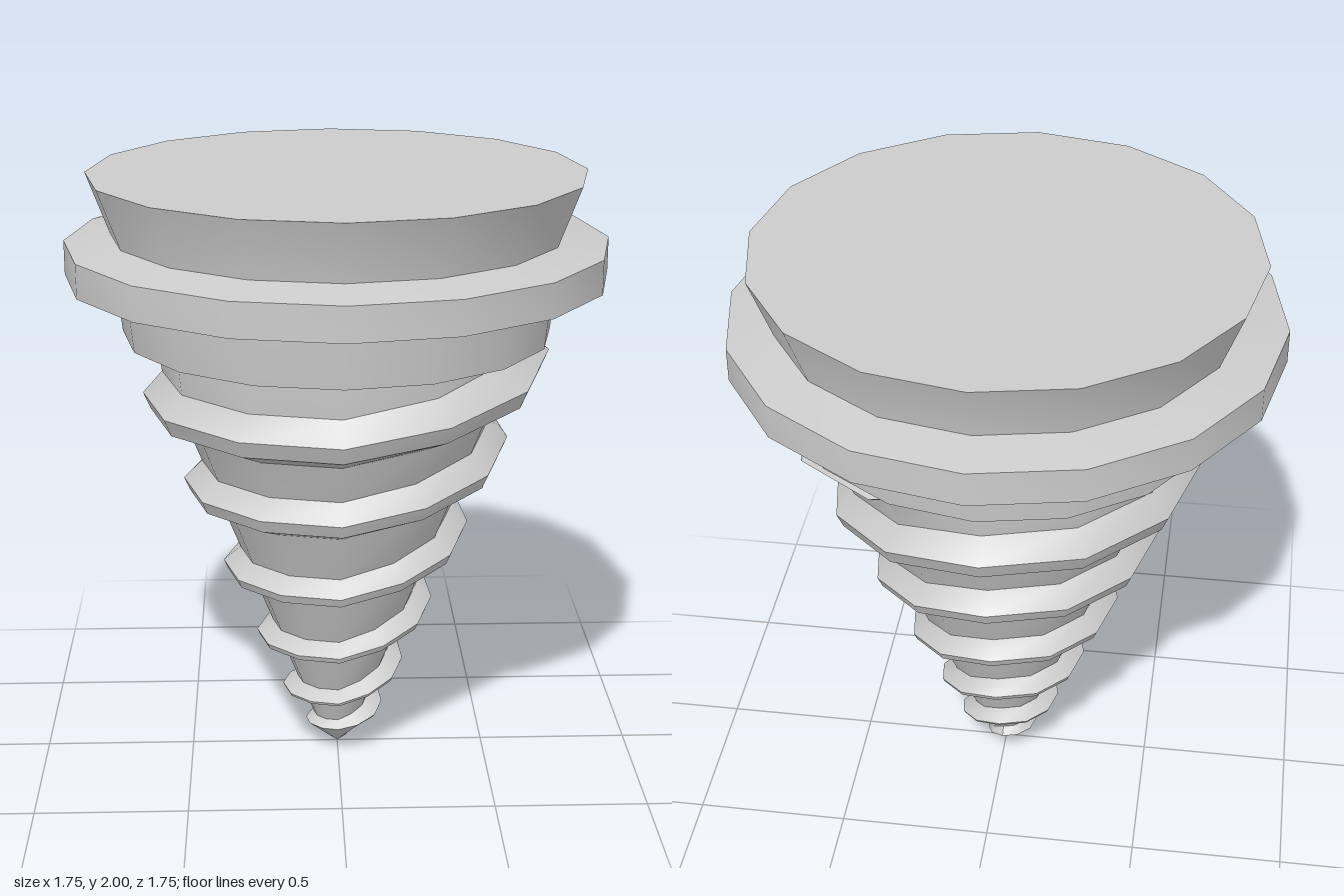
import * as THREE from 'three';
import { toCreasedNormals } from 'three/addons/utils/BufferGeometryUtils.js';

const SIDES = 12;   // steps per thread turn
const TOP = 1.49;   // where the bit enters the collar
// Crest height at the front for each turn
const LEVELS = [0, 0.09, 0.22, 0.42, 0.67, 0.96, 1.25, 1.55, 1.85];
// Share of the pitch climbed after each quarter turn (mostly on the +x side)
const CLIMB = [0, 0.42, 0.94, 0.98, 1];

const { clamp, lerp } = THREE.MathUtils;

function crestY(u) {
  const k = Math.min(Math.floor(u + 1e-6), LEVELS.length - 2);
  const q = clamp((u - k) * 4, 0, 4);
  const i = Math.min(Math.floor(q), 3);
  return lerp(LEVELS[k], LEVELS[k + 1], lerp(CLIMB[i], CLIMB[i + 1], q - i));
}

const coreR = (y) => Math.min(0.035 + 0.4 * y, 0.9 * y, 0.585);
const crestR = (y) => {
  const fade = clamp((TOP - y) / 0.06, 0, 1);
  return lerp(coreR(y), Math.min(0.09 + 0.43 * y, 1.2 * y), fade);
};
const flank = (y) => 0.015 + 0.05 * y;

// Foot of the thread below the crest; the first turn closes onto the tip
function footY(u) {
  const y = crestY(u);
  return u <= 1 ? 0 : y - lerp(LEVELS[1], flank(y), Math.min(u - 1, 1));
}

// Helical strip: each section runs foot, crest, upper foot, foot of next turn
function threadGeometry() {
  const pos = [], idx = [], steps = (LEVELS.length - 2) * SIDES, n = 5;
  for (let s = 0; s <= steps; s++) {
    const u = s / SIDES, a = u * Math.PI * 2, y = crestY(u);
    const next = Math.max(footY(u + 1), y);
    const section = [
      [footY(u), coreR],
      [y - 0.022 * y, crestR],
      [y + 0.022 * y, crestR],
      [Math.min(y + 1.3 * flank(y), next), coreR],
      [next, coreR],
    ];
    for (const [h, radius] of section) {
      const yy = clamp(h, 0, TOP), r = radius(yy);
      pos.push(r * Math.sin(a), yy, r * Math.cos(a));
    }
    if (s === steps) break;
    for (let p = 0; p < n - 1; p++) {
      const i = s * n + p, j = i + n;
      idx.push(i, j, j + 1, i, j + 1, i + 1);
    }
  }
  const g = new THREE.BufferGeometry();
  g.setAttribute('position', new THREE.Float32BufferAttribute(pos, 3));
  g.setIndex(idx);
  return toCreasedNormals(g, 0.7);
}

// Sixteen-sided turned part
function turned(points) {
  const profile = points.map(([r, y]) => new THREE.Vector2(r, y));
  return toCreasedNormals(new THREE.LatheGeometry(profile, 16), 0.5);
}

export function createModel() {
  const model = new THREE.Group();
  model.name = 'drillBit';
  const material = new THREE.MeshStandardMaterial({ color: 0xcccccc, side: THREE.DoubleSide });
  const add = (name, geometry) => {
    const mesh = new THREE.Mesh(geometry, material);
    mesh.name = name;
    model.add(mesh);
  };

  add('threadedBit', threadGeometry());
  // Neck and flat head
  add('collar', turned([[0, 1.45], [0.5, 1.46], [0.695, 1.48], [0.715, 1.66], [0.725, 1.8], [0.8, 2], [0, 2]]));
  // Raised ring around the collar
  add('collarRing', turned([[0.71, 1.64], [0.875, 1.67], [0.875, 1.78], [0.72, 1.81]]));
  return model;
}
